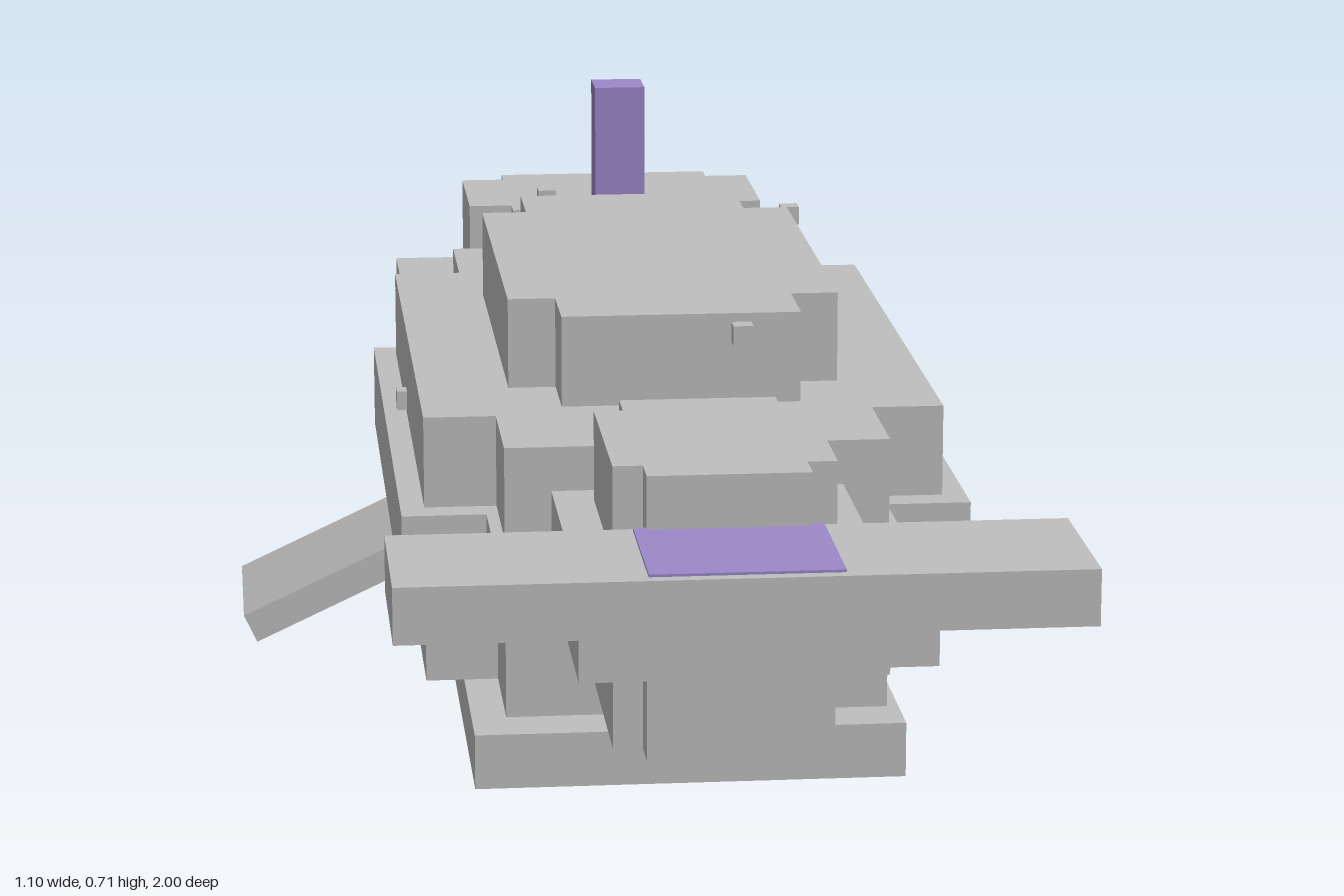
import * as THREE from 'three';

export function createModel() {
  const model = new THREE.Group();
  model.name = 'blockWhale';
  const gray = new THREE.MeshStandardMaterial({ color: 0xbfbfbf });
  gray.name = 'skin gray';
  const purple = new THREE.MeshStandardMaterial({ color: 0x9c88c9 });
  purple.name = 'purple';

  // Box from its limits on each axis
  function box(name, x, y, z, material = gray, parent = model) {
    const size = (r) => r[1] - r[0];
    const mid = (r) => (r[0] + r[1]) / 2;
    const mesh = new THREE.Mesh(new THREE.BoxGeometry(size(x), size(y), size(z)), material);
    mesh.position.set(mid(x), mid(y), mid(z));
    mesh.name = name;
    parent.add(mesh);
    return mesh;
  }

  // Slab with notched corners: a plus-shaped extrusion, half widths a (long bar) and b (wide bar)
  function slab(name, y, a, za, b, zb) {
    const pts = [
      [a, za[0]], [a, zb[0]], [b, zb[0]], [b, zb[1]], [a, zb[1]], [a, za[1]],
      [-a, za[1]], [-a, zb[1]], [-b, zb[1]], [-b, zb[0]], [-a, zb[0]], [-a, za[0]],
    ].map(([x, z]) => new THREE.Vector2(x, -z));
    const geometry = new THREE.ExtrudeGeometry(new THREE.Shape(pts), { depth: y[1] - y[0], bevelEnabled: false });
    geometry.rotateX(-Math.PI / 2);
    const mesh = new THREE.Mesh(geometry, gray);
    mesh.position.y = y[0];
    mesh.name = name;
    model.add(mesh);
  }

  // Body, stacked from the bottom up
  box('bellyPlate', [-0.27, 0.27], [0.01, 0.08], [-0.69, 0.375]);
  slab('bodyBottom', [0.08, 0.125], 0.15, [-0.51, 0.245], 0.21, [-0.4, 0.14]);
  slab('bodyLower', [0.125, 0.24], 0.235, [-0.705, 0.445], 0.325, [-0.545, 0.285]);
  slab('bodyMiddle', [0.24, 0.35], 0.25, [-0.68, 0.5], 0.355, [-0.585, 0.325]);
  slab('bodyUpper', [0.35, 0.465], 0.235, [-0.705, 0.445], 0.325, [-0.545, 0.285]);
  slab('bodyTop', [0.465, 0.58], 0.15, [-0.51, 0.245], 0.21, [-0.4, 0.14]);

  // Belly ridges
  for (const z of [0.195, -0.02, -0.235, -0.45]) {
    box('bellyRidge', [-0.21, 0.21], [0, 0.012], [z - 0.014, z + 0.014]);
  }

  // Head and jaw
  slab('head', [0.155, 0.4], 0.22, [-1, -0.66], 0.307, [-0.95, -0.675]);
  slab('headTop', [0.4, 0.525], 0.15, [-0.94, -0.68], 0.21, [-0.905, -0.715]);
  slab('headBottom', [0.1, 0.155], 0.15, [-0.94, -0.68], 0.21, [-0.905, -0.715]);
  box('jaw', [-0.22, 0.22], [0.03, 0.1], [-0.97, -0.65]);
  box('spout', [-0.035, 0.035], [0.525, 0.708], [-0.705, -0.637], purple);

  // Tail
  slab('tailBottom', [0.18, 0.295], 0.095, [0.44, 0.8], 0.13, [0.49, 0.752]);
  box('tailMiddle', [-0.178, 0.178], [0.295, 0.41], [0.44, 0.86]);
  slab('tailTop', [0.41, 0.52], 0.095, [0.44, 0.8], 0.13, [0.49, 0.752]);
  box('flukes', [-0.393, 0.393], [0.388, 0.454], [0.785, 1]);
  box('flukePatchTop', [-0.11, 0.11], [0.453, 0.457], [0.79, 0.985], purple);
  box('flukePatchBottom', [-0.11, 0.11], [0.385, 0.389], [0.79, 0.985], purple);

  // Eyes and drooping fins on both sides
  for (const side of [-1, 1]) {
    const eye = box('eye', [-0.004, 0.004], [0.325, 0.367], [-0.883, -0.853]);
    eye.position.x = side * 0.308;
    const fin = box('fin', [-0.15, 0.15], [-0.0205, 0.0205], [-0.467, -0.22]);
    fin.position.x = side * 0.404;
    fin.position.y = 0.112;
    fin.rotation.z = -side * 0.436;
  }

  // Barnacles
  const barnacles = [
    [-0.11, 0.567, -0.56], [0.215, 0.567, -0.415], [0.07, 0.567, 0.303],
    [-0.326, 0.369, -0.205], [0.326, 0.406, 0.085], [-0.326, 0.225, -0.35],
  ];
  for (const [x, y, z] of barnacles) {
    const r = 0.0125;
    box('barnacle', [x - r, x + r], [y - r, y + r], [z - r, z + r]);
  }
  return model;
}
